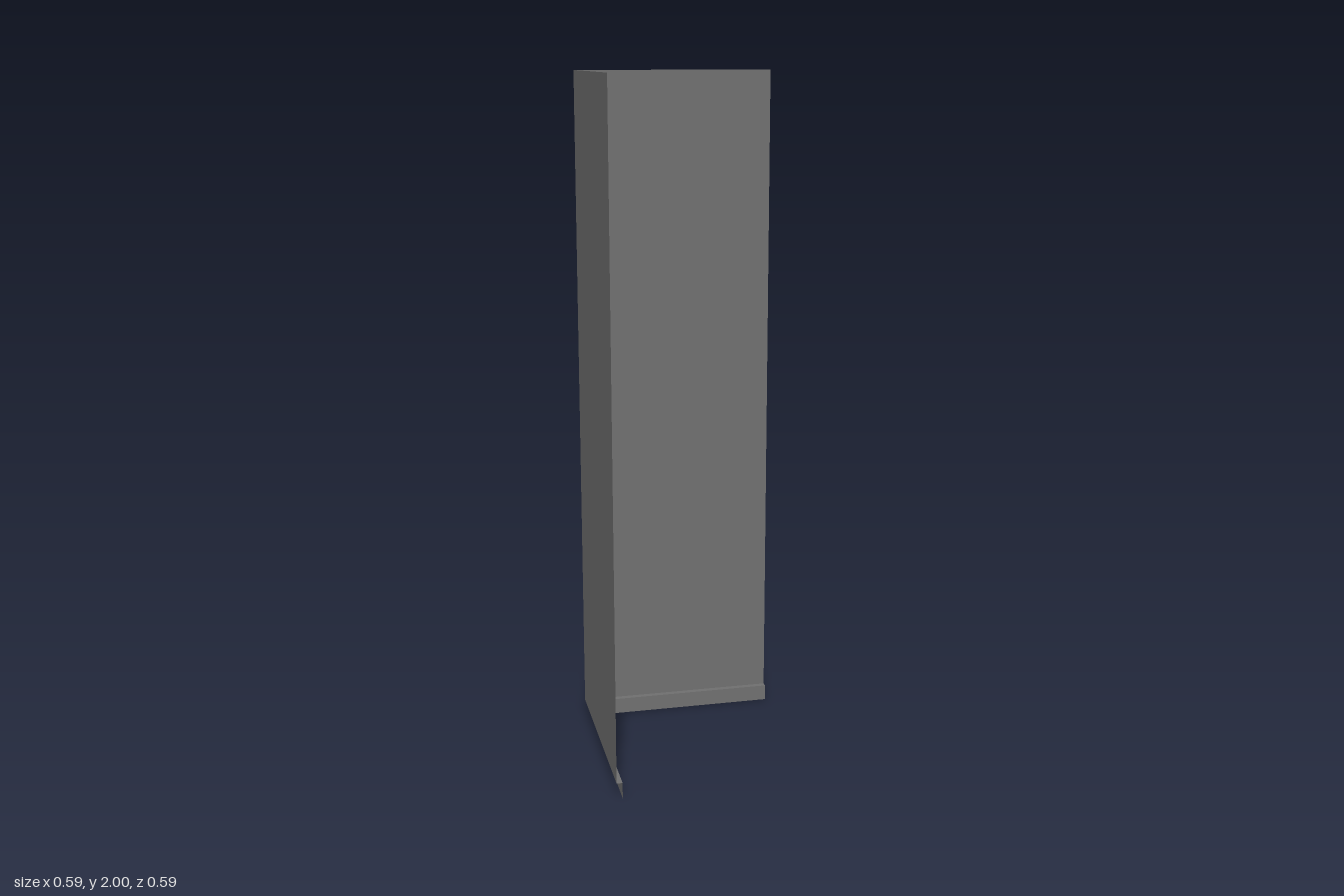
import * as THREE from 'three';

const HALF = 0.294;   // half the footprint
const STEP = 0.0172;  // how far the lip is set in from the panels
const LIP_TOP = 0.048;
const HEIGHT = 2;

const material = new THREE.MeshStandardMaterial({ color: 0x707070, side: THREE.DoubleSide });

// Sheet strip running along x between two profile points [inset, y], mitred at the corner
function strip(name, [inA, yA], [inB, yB]) {
  const a = -HALF + inA, b = -HALF + inB;
  const geometry = new THREE.BufferGeometry();
  geometry.setAttribute('position', new THREE.Float32BufferAttribute([
    a, yA, a, HALF, yA, a, HALF, yB, b, b, yB, b,
  ], 3));
  geometry.setIndex([2, 1, 0, 3, 2, 0]);
  geometry.computeVertexNormals();
  const mesh = new THREE.Mesh(geometry, material);
  mesh.name = name;
  return mesh;
}

// Swap x and z to mirror a strip onto the other wing, reversing the winding
function mirrored(mesh, name) {
  const geometry = mesh.geometry.clone();
  const p = geometry.attributes.position;
  for (let i = 0; i < p.count; i++) p.setXYZ(i, p.getZ(i), p.getY(i), p.getX(i));
  geometry.setIndex(Array.from(geometry.index.array).reverse());
  geometry.computeVertexNormals();
  const copy = new THREE.Mesh(geometry, material);
  copy.name = name;
  return copy;
}

export function createModel() {
  const model = new THREE.Group();
  model.name = 'cornerPanel';

  // Profile from the top edge down: tall panel, inward ledge, short lip
  const profile = [[0, HEIGHT], [0, LIP_TOP], [STEP, LIP_TOP], [STEP, 0]];
  ['Panel', 'Ledge', 'Lip'].forEach((part, i) => {
    const back = strip('back' + part, profile[i], profile[i + 1]);
    model.add(back, mirrored(back, 'right' + part));
  });
  return model;
}
